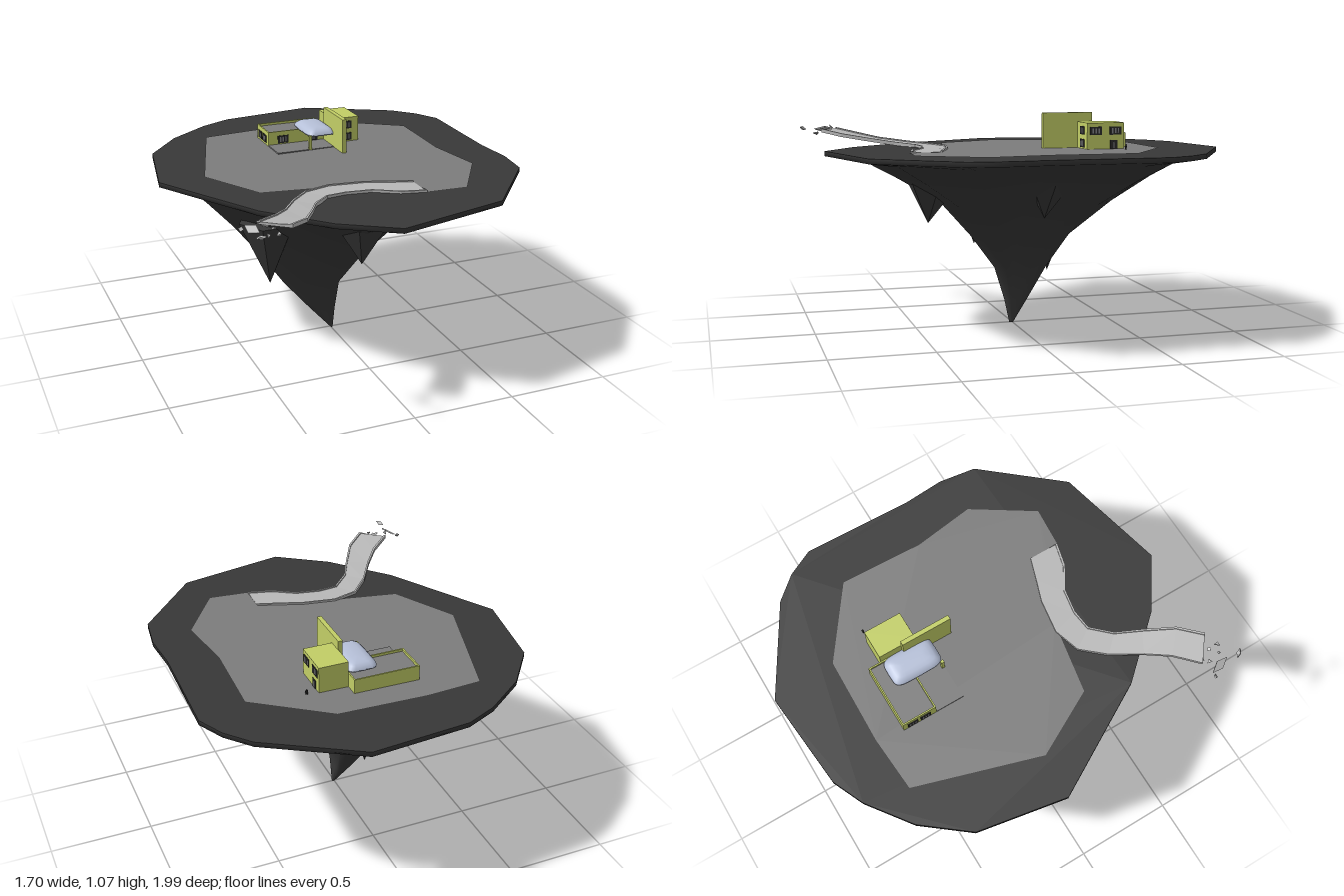
import * as THREE from 'three';
import { mergeVertices } from 'three/addons/utils/BufferGeometryUtils.js';

const material = (name, color, side = THREE.FrontSide) => {
  const m = new THREE.MeshStandardMaterial({ color, side });
  m.name = name;
  return m;
};

// Closed rings joined in order, with optional fan caps.
function loft(rings, { smooth = false, startCap = true, endCap = true } = {}) {
  const n = rings[0].length, index = [];
  for (let k = 0; k < rings.length - 1; k++)
    for (let i = 0; i < n; i++) {
      const j = (i + 1) % n, a = k * n, b = a + n;
      index.push(a + i, b + i, b + j, a + i, b + j, a + j);
    }
  const last = (rings.length - 1) * n;
  for (let i = 0; i < n - 2; i++) {
    if (startCap) index.push(n - 1, i, i + 1);
    if (endCap) index.push(last + n - 1, last + i + 1, last + i);
  }
  let g = new THREE.BufferGeometry();
  g.setAttribute('position', new THREE.Float32BufferAttribute(rings.flat(2), 3));
  g.setIndex(index);
  g = smooth ? mergeVertices(g) : g.toNonIndexed();
  g.computeVertexNormals();
  return g;
}

// Gently tilted plane of the island's top.
const groundY = (x) => 0.893 + 0.011 * x;

export function createModel() {
  const model = new THREE.Group();
  model.name = 'floatingIsland';
  const rock = material('dark rock', 0x383838);
  const paving = material('grey paving', 0x7c7c7c);
  const concrete = material('light concrete', 0xb8b8b8);
  const wall = material('lime wall', 0xc2ce66);
  const glassRoof = material('pale blue roof', 0xb6c0d8);
  const dark = material('dark frame', 0x2a2a2a);
  const pane = material('window pane', 0x85858a);

  const add = (name, geometry, mat, parent = model) => {
    const mesh = new THREE.Mesh(geometry, mat);
    mesh.name = name;
    parent.add(mesh);
    return mesh;
  };
  // Box given by its limits on each axis.
  const box = (name, mat, x0, x1, y0, y1, z0, z1, parent = model) => {
    const mesh = add(name, new THREE.BoxGeometry(x1 - x0, y1 - y0, z1 - z0), mat, parent);
    mesh.position.set((x0 + x1) / 2, (y0 + y1) / 2, (z0 + z1) / 2);
    return mesh;
  };
  // Flat polygon laid on the ground plane.
  const flat = (name, mat, points, lift) => {
    const g = new THREE.ShapeGeometry(new THREE.Shape(points.map(([x, z]) => new THREE.Vector2(x, -z))));
    g.rotateX(-Math.PI / 2);
    const p = g.attributes.position;
    for (let i = 0; i < p.count; i++) p.setY(i, groundY(p.getX(i)) + lift);
    g.computeVertexNormals();
    return add(name, g, mat);
  };

  // Island: flat top, thin rim and a body tapering to a point
  const outline = [[0.25, -1], [-0.235, -0.955], [-0.39, -0.885], [-0.6, -0.73], [-0.77, -0.515], [-0.85, -0.07],
    [-0.54, 0.48], [-0.29, 0.76], [-0.04, 0.93], [0.51, 0.8], [0.82, 0.43], [0.845, 0.245], [0.83, 0.04],
    [0.845, -0.5], [0.78, -0.63], [0.68, -0.745]];
  flat('islandTop', rock, outline, 0);
  // Each level: height, then reach to -x, +x, -z and +z
  const levels = [[0.85, 0.72, 0.7, 0.85, 0.76], [0.75, 0.62, 0.5, 0.69, 0.575], [0.62, 0.5, 0.3, 0.5, 0.36],
    [0.45, 0.365, 0.14, 0.29, 0.21], [0.285, 0.25, 0.025, 0.18, 0.09], [0.12, 0.11, 0.015, 0.08, 0.04],
    [0, 0.002, 0.01, 0.005, 0.015]];
  const body = [
    outline.map(([x, z]) => [x, groundY(x), z]),
    outline.map(([x, z]) => [x, groundY(x) - 0.024, z]),
    ...levels.map(([y, xn, xp, zn, zp]) => outline.map(([x, z]) => [
      x * (x < 0 ? xn / 0.85 : xp / 0.845), y, z * (z < 0 ? zn : zp / 0.93)])),
  ];
  add('islandUnderside', loft(body, { smooth: true, startCap: false }), rock);

  // Hanging rock spikes: tip, base centre and base radius
  const spikes = [
    [[-0.365, 0.355, 0.11], [-0.36, 0.68, 0.09], 0.15],
    [[-0.015, 0.525, 0.43], [0, 0.75, 0.4], 0.15],
    [[0.325, 0.575, -0.07], [0.39, 0.75, -0.07], 0.11],
    [[-0.08, 0.245, -0.21], [-0.07, 0.5, -0.23], 0.08],
  ];
  for (const [tip, [cx, cy, cz], r] of spikes) {
    const base = [], point = [];
    for (let i = 0; i < 6; i++) {
      const a = -i * Math.PI / 3;
      base.push([cx + r * Math.cos(a), cy, cz + r * Math.sin(a)]);
      point.push(tip);
    }
    add('rockSpike', loft([base, point], { endCap: false }), rock);
  }

  // Paved plaza
  flat('plaza', paving, [[-0.165, -0.69], [-0.44, -0.67], [-0.63, -0.055], [-0.46, 0.265], [-0.1, 0.33],
    [0.1, 0.45], [0.25, 0.565], [0.45, 0.58], [0.64, 0.285], [0.595, -0.02], [0.61, -0.435], [0.27, -0.68]], 0.003);

  // Road that leaves the island and breaks off: far edge, near edge, height
  const road = [[0.25, 0.41, 0.25, 0.565, 0.902], [0.13, 0.37, 0.13, 0.535, 0.902], [0.03, 0.335, 0.02, 0.465, 0.902],
    [-0.14, 0.31, -0.1, 0.445, 0.9], [-0.27, 0.35, -0.2, 0.455, 0.9], [-0.37, 0.46, -0.29, 0.545, 0.908],
    [-0.46, 0.6, -0.35, 0.66, 0.925], [-0.54, 0.7, -0.43, 0.8, 0.947], [-0.65, 0.795, -0.53, 0.89, 0.967]];
  const curb = [[0, 0.004], [0.07, 0.004], [0.07, -0.002], [0.93, -0.002], [0.93, 0.004], [1, 0.004], [1, -0.014], [0, -0.014]];
  add('road', loft(road.map(([ox, oz, ix, iz, y]) =>
    curb.map(([t, dy]) => [ox + (ix - ox) * t, y + dy, oz + (iz - oz) * t]))), concrete);

  // Broken road fragments: position, then width and depth
  const fragments = [[-0.695, 0.96, 0.86, 0.04, 0.09], [-0.62, 0.95, 0.81, 0.035, 0.025], [-0.695, 0.965, 0.97, 0.02, 0.04],
    [-0.6, 0.945, 0.915, 0.03, 0.018], [-0.73, 0.95, 0.815, 0.02, 0.02], [-0.66, 0.975, 0.825, 0.025, 0.02],
    [-0.605, 0.955, 0.865, 0.018, 0.018], [-0.64, 0.94, 0.9, 0.02, 0.015]];
  fragments.forEach(([x, y, z, w, d], i) => {
    const piece = add('roadFragment', new THREE.CylinderGeometry(0.6, 0.5, 0.008, i % 2 ? 3 : 4).toNonIndexed(), concrete);
    piece.geometry.computeVertexNormals();
    piece.scale.set(w, 1, d);
    piece.position.set(x, y, z);
    piece.rotation.set(0.5 * Math.sin(i * 2.1), 0.3 + i * 0.2, 0.6 * Math.cos(i * 1.7));
  });

  // House
  const house = new THREE.Group();
  house.name = 'house';
  model.add(house);
  const floor = 0.885;
  box('tower', wall, 0.135, 0.28, floor, 1.027, -0.49, -0.3, house);
  box('finWall', wall, 0.115, 0.137, floor, 1.072, -0.375, -0.12, house);
  box('patio', paving, -0.19, 0.12, floor, 0.9, -0.38, -0.235, house);
  box('canopyPost', wall, -0.02, -0.005, floor, 0.968, -0.25, -0.235, house);

  // Low wing with a parapet around a recessed roof
  box('wing', wall, -0.19, 0.135, floor, 0.952, -0.555, -0.38, house);
  box('wingRoof', paving, -0.185, 0.13, 0.952, 0.956, -0.55, -0.385, house);
  for (const z of [-0.555, -0.387]) box('parapet', wall, -0.19, 0.135, 0.952, 0.968, z, z + 0.007, house);
  for (const x of [-0.19, 0.128]) box('parapet', wall, x, x + 0.007, 0.952, 0.968, -0.548, -0.387, house);

  // Rounded canopy roof
  const canopy = [[0.964, 0], [0.972, 0], [0.985, 0.012], [0.993, 0.025], [0.997, 0.045], [0.998, 0.07]].map(([y, inset]) => {
    const ring = [];
    for (let i = 0; i < 28; i++) {
      const a = i * Math.PI / 14, c = Math.cos(a), s = Math.sin(a);
      const round = (v) => Math.sign(v) * Math.abs(v) ** 0.4;
      ring.push([0.057 + round(c) * (0.077 - inset), y, -0.3625 + round(s) * (0.1275 - inset)]);
    }
    return ring;
  });
  add('canopyRoof', loft(canopy, { smooth: true }), glassRoof, house);

  // Windows and doors: dark plates with slim panes, facing +z before turning
  const opening = (name, x, y, z, turn, w, h, panes) => {
    const g = new THREE.Group();
    g.name = name;
    box('frame', dark, -w / 2, w / 2, -h / 2, h / 2, -0.001, 0.003, g);
    for (let i = 0; i < panes; i++) {
      const px = (i - (panes - 1) / 2) * w * 0.25;
      box('pane', pane, px - w * 0.06, px + w * 0.06, -h * 0.32, h * 0.32, 0.003, 0.004, g);
    }
    g.position.set(x, y, z);
    g.rotation.y = turn;
    house.add(g);
  };
  const right = Math.PI / 2;
  opening('wingWindow', -0.11, 0.925, -0.38, 0, 0.058, 0.04, 3);
  for (const y of [0.988, 0.925]) opening('towerWindow', 0.212, y, -0.3, 0, 0.058, 0.04, 3);
  for (const z of [-0.345, -0.445]) opening('towerSideWindow', 0.28, 0.988, z, right, 0.06, 0.04, 3);
  for (const z of [-0.505, -0.437]) opening('wingSideWindow', -0.19, 0.925, z, -right, 0.054, 0.04, 3);
  opening('frontDoor', 0.055, 0.925, -0.38, 0, 0.05, 0.058, 2);
  opening('sideDoor', 0.28, 0.919, -0.437, right, 0.036, 0.046, 1);

  // Small standing figure beside the house
  const figure = new THREE.Group();
  figure.name = 'figure';
  figure.position.set(0.335, 0.897, -0.48);
  model.add(figure);
  for (const s of [-1, 1]) box('leg', dark, s * 0.003 - 0.002, s * 0.003 + 0.002, 0, 0.012, -0.002, 0.002, figure);
  box('torso', dark, -0.006, 0.006, 0.011, 0.022, -0.003, 0.003, figure);
  add('head', new THREE.SphereGeometry(0.004, 8, 6), dark, figure).position.y = 0.025;

  return model;
}
